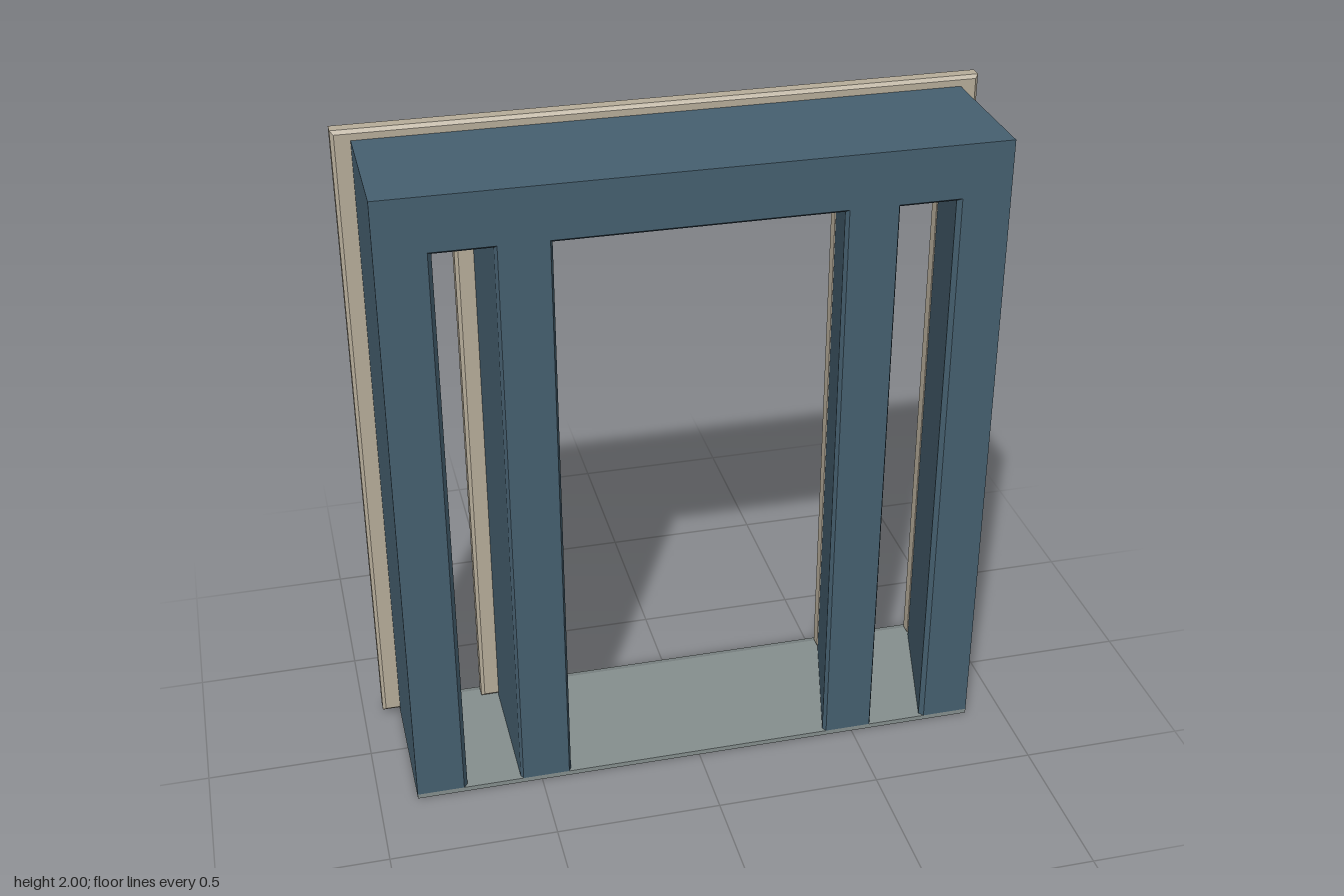
import * as THREE from 'three';

const mat = (name, color) => {
  const m = new THREE.MeshStandardMaterial({ color });
  m.name = name;
  return m;
};

// Comb outline: a lintel on four posts, with a wide opening between two narrow ones.
// w half width, t top, a/b outer and inner edge of narrow opening, c half of wide opening, h opening top
function combPoints({ w, t, a, b, c, h, y = 0.015 }) {
  const right = [[c, h], [c, y], [b, y], [b, h], [a, h], [a, y], [w, y], [w, t]];
  const left = right.map(([x, v]) => [-x, v]).reverse();
  return [...right, ...left].map(([x, v]) => new THREE.Vector2(x, v));
}

// Loft a solid through matching outlines, ordered from front to back
function loft(sections) {
  const pos = [];
  const put = (p, z) => pos.push(p.x, p.y, z);
  const n = sections[0].pts.length;
  for (let s = 0; s + 1 < sections.length; s++) {
    const f = sections[s], r = sections[s + 1];
    for (let i = 0; i < n; i++) {
      const j = (i + 1) % n;
      put(f.pts[i], f.z); put(r.pts[i], r.z); put(r.pts[j], r.z);
      put(f.pts[i], f.z); put(r.pts[j], r.z); put(f.pts[j], f.z);
    }
  }
  [sections[0], sections[sections.length - 1]].forEach(({ pts, z }, end) => {
    for (const tri of THREE.ShapeUtils.triangulateShape(pts, [])) {
      const [i, j, k] = tri.map((q) => pts[q]);
      const ccw = (j.x - i.x) * (k.y - i.y) - (j.y - i.y) * (k.x - i.x) > 0;
      const order = ccw === (end === 0) ? [i, j, k] : [i, k, j];
      order.forEach((p) => put(p, z));
    }
  });
  const g = new THREE.BufferGeometry();
  g.setAttribute('position', new THREE.Float32BufferAttribute(pos, 3));
  g.computeVertexNormals();
  return g;
}

export function createModel() {
  const model = new THREE.Group();
  model.name = 'doorway';
  const add = (name, geometry, material) => {
    const mesh = new THREE.Mesh(geometry, material);
    mesh.name = name;
    model.add(mesh);
    return mesh;
  };
  const blue = mat('slate blue paint', 0x466070);
  const beige = mat('beige trim', 0xb8ae9b);
  const grey = mat('grey sill', 0x86908f);

  // Deep surround: chamfered front lips, then reveals that splay wider to the back
  const size = { w: 0.885, t: 1.97 };
  add('surround', loft([
    { z: 0.25, pts: combPoints({ ...size, a: 0.742, b: 0.558, c: 0.415, h: 1.81 }) },
    { z: 0.235, pts: combPoints({ ...size, a: 0.73, b: 0.565, c: 0.407, h: 1.8 }) },
    { z: -0.18, pts: combPoints({ ...size, a: 0.84, b: 0.565, c: 0.52, h: 1.9 }) },
  ]), blue);

  // Bevelled trim behind the surround
  const bevel = 0.01;
  const outline = combPoints({ w: 0.94, t: 2, a: 0.84, b: 0.62, c: 0.52, h: 1.9, y: 0.02 });
  const trim = new THREE.ExtrudeGeometry(new THREE.Shape(outline), {
    depth: 0.057 - 2 * bevel, bevelEnabled: true, bevelSegments: 1,
    bevelSize: bevel, bevelThickness: bevel, bevelOffset: -bevel,
  });
  trim.translate(0, 0, -0.235 + bevel);
  add('backTrim', trim, beige);

  // Floor sill with a thin sloped back edge
  const profile = new THREE.Shape([
    [-0.25, 0], [0.255, 0], [0.255, 0.004], [0.225, 0.015], [-0.25, 0.015],
  ].map(([x, y]) => new THREE.Vector2(x, y)));
  const sill = new THREE.ExtrudeGeometry(profile, { depth: 1.77, bevelEnabled: false });
  sill.translate(0, 0, -0.885);
  sill.rotateY(Math.PI / 2);
  add('sill', sill, grey);

  return model;
}
